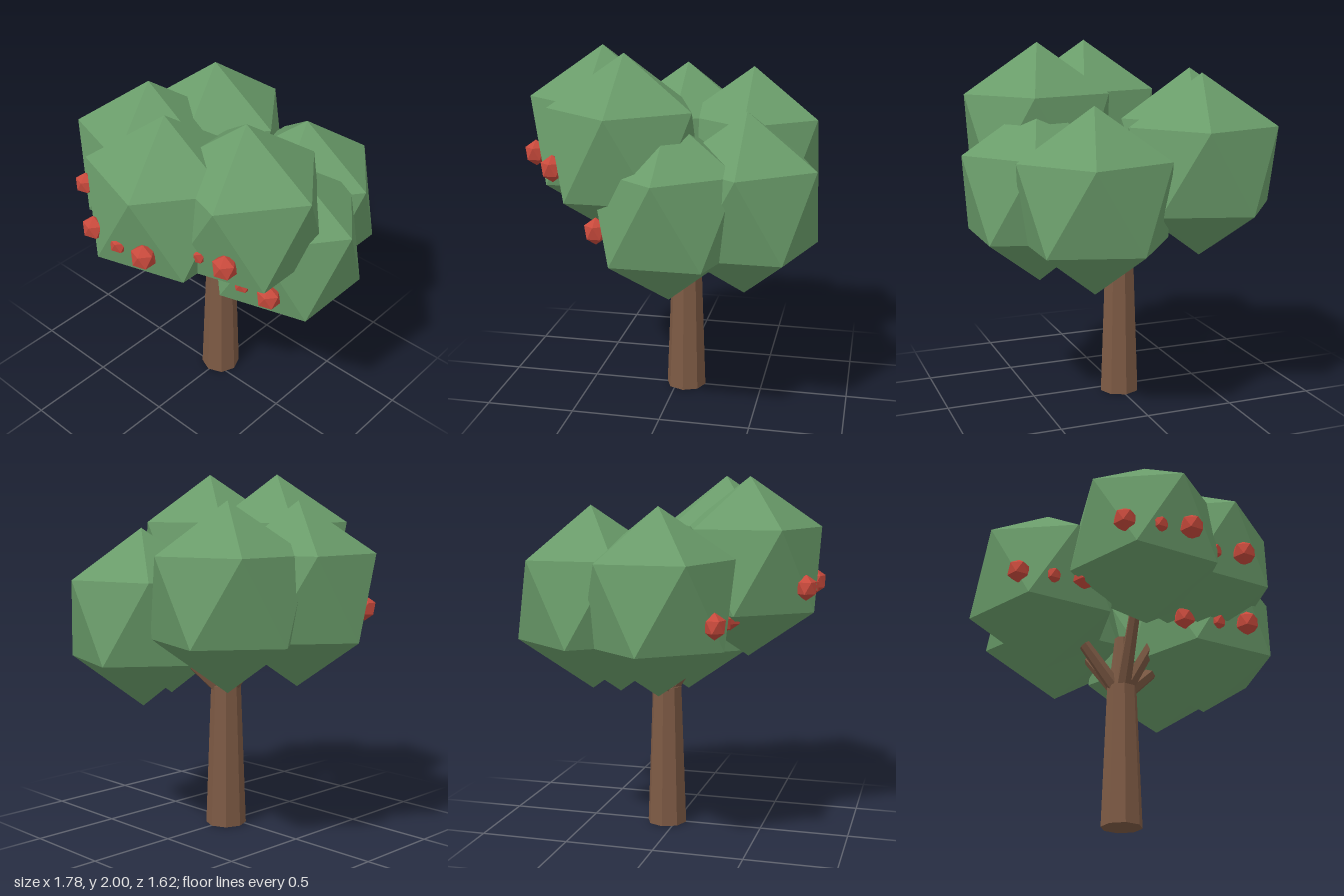
import * as THREE from 'three';

const leafMat = new THREE.MeshStandardMaterial({ color: 0x6a9c6a, flatShading: true });
const barkMat = new THREE.MeshStandardMaterial({ color: 0x7d5a44, flatShading: true });
const fruitMat = new THREE.MeshStandardMaterial({ color: 0xc84a3c, flatShading: true });

// Icosahedron standing on a vertex, with an upper-ring vertex towards +x
const ico = new THREE.IcosahedronGeometry(1, 0);
ico.rotateZ(-Math.atan(2 / (1 + Math.sqrt(5))));

function ball(name, material, position, scale) {
  const mesh = new THREE.Mesh(ico, material);
  mesh.name = name;
  mesh.position.set(...position);
  mesh.scale.set(...scale);
  return mesh;
}

// Tapered round limb between two points
function limb(name, from, to, r0, r1, sides) {
  const dir = to.clone().sub(from);
  const mesh = new THREE.Mesh(new THREE.CylinderGeometry(r1, r0, dir.length(), sides), barkMat);
  mesh.name = name;
  mesh.position.copy(from).addScaledVector(dir, 0.5);
  mesh.quaternion.setFromUnitVectors(new THREE.Vector3(0, 1, 0), dir.normalize());
  return mesh;
}

export function createModel() {
  const tree = new THREE.Group();
  tree.name = 'fruitTree';

  // Trunk and its thinner leader
  const at = (y) => new THREE.Vector3(-0.005, y, -0.055);
  tree.add(limb('trunk', at(0), at(0.81), 0.115, 0.085, 8));
  tree.add(limb('leader', at(0.81), at(1.12), 0.075, 0.042, 8));

  // Centres of the leaf clumps
  const clumps = [
    [0.04, 1.5, 0.41], [0.39, 1.5, 0.2],
    [-0.47, 1.35, 0.03], [-0.35, 1.35, -0.38],
    [0.28, 1.2, -0.43], [0.47, 1.2, -0.05],
  ];
  // Fruit offsets across the front of a clump: x, y, z, size
  const fruits = [
    [-0.185, -0.085, 0.345, 0.07],
    [0, -0.095, 0.345, 0.055],
    [0.175, -0.085, 0.345, 0.073],
  ];

  for (const [x, y, z] of clumps) {
    tree.add(ball('leafClump', leafMat, [x, y, z], [0.47, 0.5, 0.45]));

    // Branch from the trunk top into the clump
    const root = at(0.76);
    const tip = root.clone().lerp(new THREE.Vector3(x, y, z), 0.75);
    tree.add(limb('branch', root, tip, 0.045, 0.028, 6));

    for (const [dx, dy, dz, r] of fruits) {
      tree.add(ball('fruit', fruitMat, [x + dx, y + dy, z + dz], [r * 0.95, r, r * 0.9]));
    }
  }
  return tree;
}
